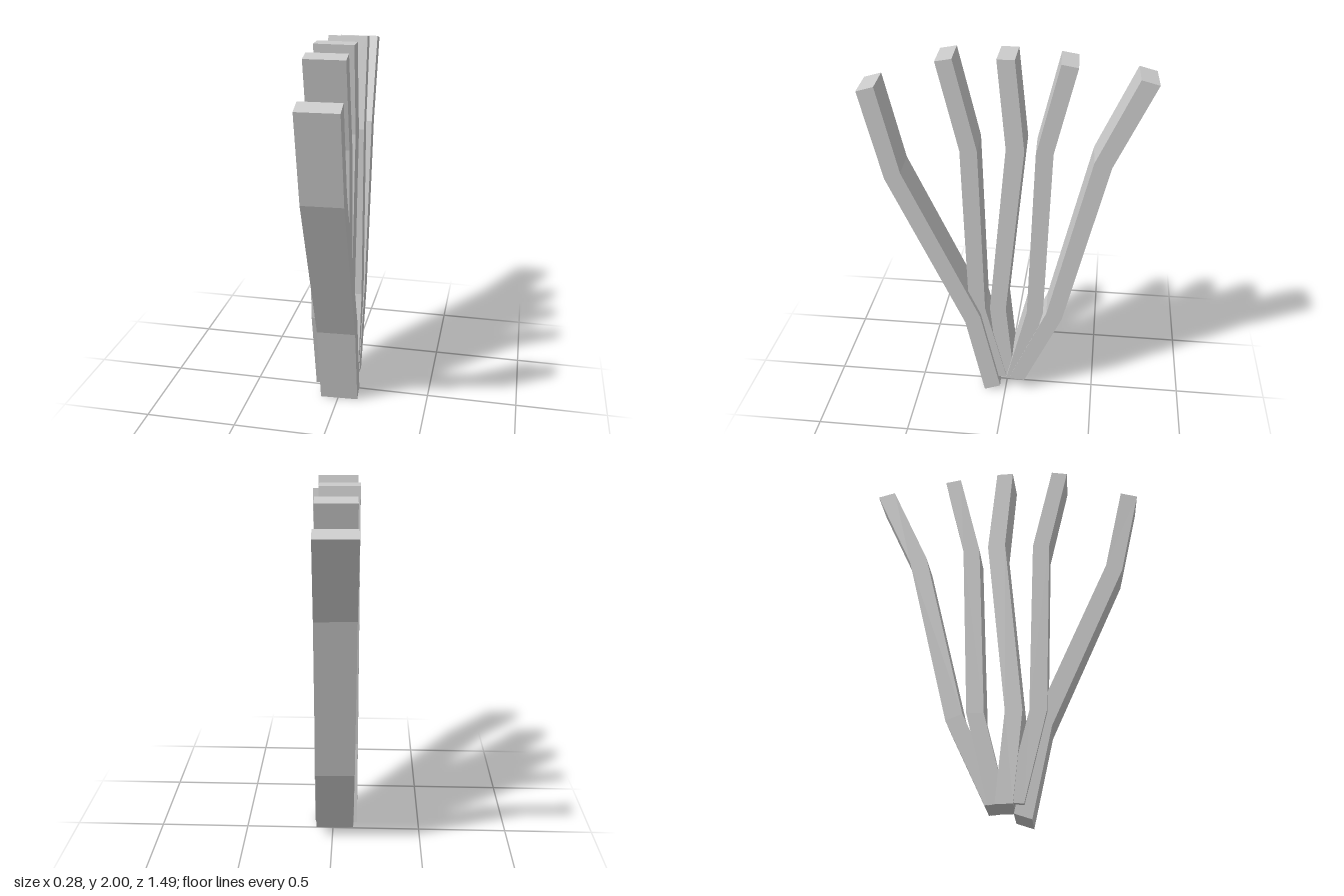
import * as THREE from 'three';

const WIDTH = 0.21;

// Each bent slat: side outline as [z, y] pairs up the front edge then up the
// back edge, plus sideways offset and slight yaw.
const SLATS = [
  { name: 'frontSlat', x: 0, yaw: 0.05,
    front: [[0.125, 0], [0.23, 0.475], [0.63, 1.36], [0.74, 1.835]],
    back: [[0.035, 0.03], [0.145, 0.515], [0.545, 1.395], [0.65, 1.86]] },
  { name: 'frontInnerSlat', x: -0.03, yaw: 0.04,
    front: [[0.09, 0.07], [0.21, 0.55], [0.24, 1.515], [0.35, 1.985]],
    back: [[0, 0.08], [0.12, 0.55], [0.15, 1.515], [0.265, 2]] },
  { name: 'middleSlat', x: -0.035, yaw: 0,
    front: [[0.04, 0.07], [0.09, 0.55], [0, 1.53], [0.045, 2]],
    back: [[-0.05, 0.07], [0, 0.55], [-0.095, 1.52], [-0.045, 2]] },
  { name: 'backInnerSlat', x: -0.012, yaw: 0.045,
    front: [[0, 0.08], [-0.115, 0.55], [-0.15, 1.515], [-0.265, 1.99]],
    back: [[-0.09, 0.07], [-0.205, 0.55], [-0.24, 1.52], [-0.35, 1.975]] },
  { name: 'backSlat', x: -0.01, yaw: 0.037,
    front: [[-0.02, 0.09], [-0.225, 0.55], [-0.447, 1.48], [-0.65, 1.925]],
    back: [[-0.105, 0.07], [-0.312, 0.515], [-0.538, 1.457], [-0.742, 1.9]] },
];

export function createModel() {
  const group = new THREE.Group();
  const material = new THREE.MeshStandardMaterial({ color: 0xcccccc, flatShading: true });
  for (const { name, x, yaw, front, back } of SLATS) {
    const outline = [...front, ...[...back].reverse()].map(([z, y]) => new THREE.Vector2(z, y));
    const geometry = new THREE.ExtrudeGeometry(new THREE.Shape(outline), { depth: WIDTH, bevelEnabled: false });
    // Turn the outline into the z-y plane, with the width centred on x
    geometry.translate(0, 0, -WIDTH / 2).rotateY(-Math.PI / 2);
    const slat = new THREE.Mesh(geometry, material);
    slat.name = name;
    slat.position.x = x;
    slat.rotation.y = yaw;
    group.add(slat);
  }
  return group;
}
